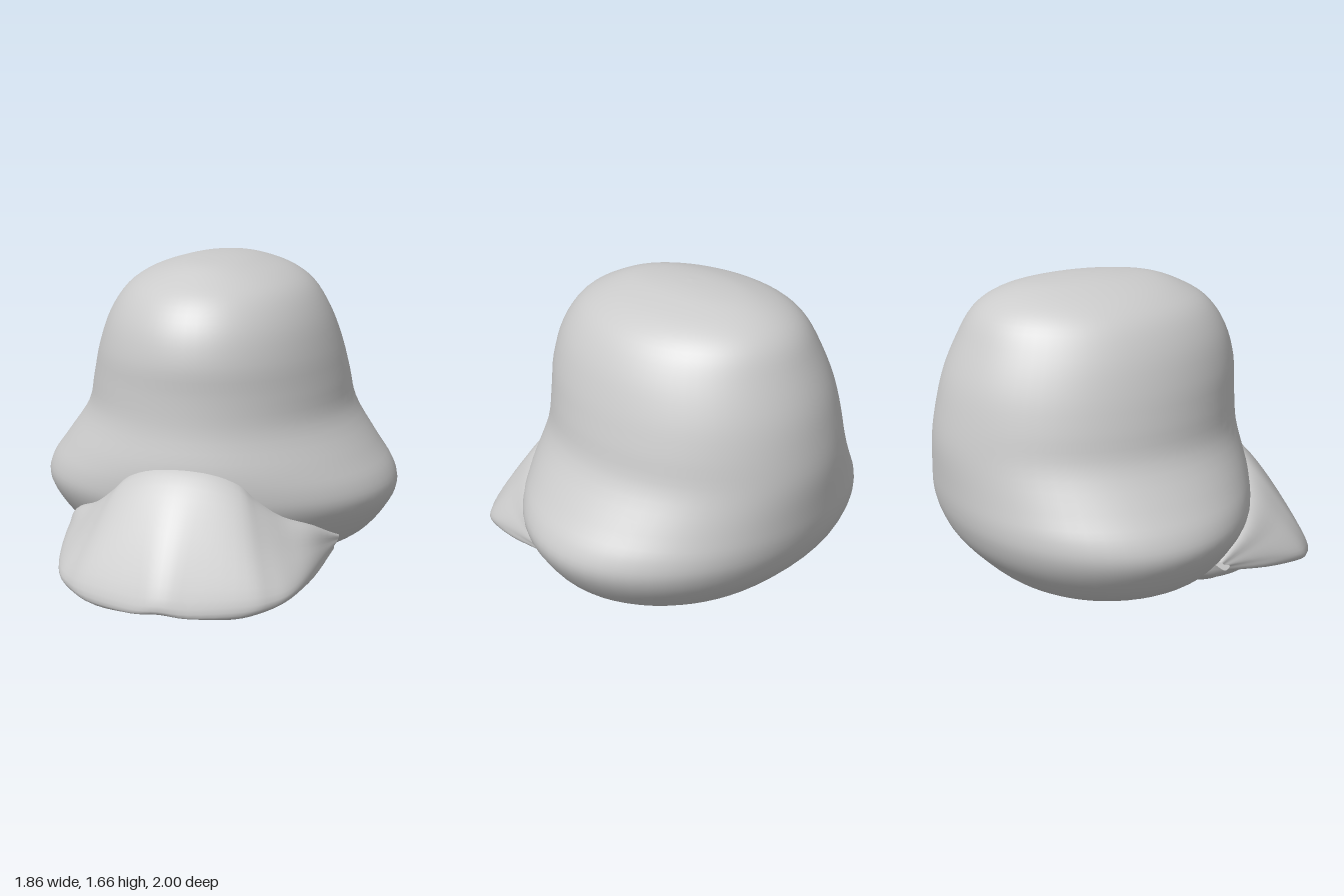
import * as THREE from 'three';

const material = new THREE.MeshStandardMaterial({ color: 0xcccccc, side: THREE.DoubleSide });
const vec = (p) => new THREE.Vector3(...p);

// Smooth skin over a grid: rows run bottom to top, each row left to right (or round, if closed)
function skin(name, rows, closed) {
  const w = rows[0].length, pos = [], index = [];
  rows.forEach((row) => row.forEach((p) => pos.push(p.x, p.y, p.z)));
  for (let j = 0; j < rows.length - 1; j++) {
    for (let i = 0; i < (closed ? w : w - 1); i++) {
      const a = j * w + i, b = j * w + (i + 1) % w;
      index.push(a, b, b + w, a, b + w, a + w);
    }
  }
  const geo = new THREE.BufferGeometry();
  geo.setAttribute('position', new THREE.Float32BufferAttribute(pos, 3));
  geo.setIndex(index);
  geo.computeVertexNormals();
  const mesh = new THREE.Mesh(geo, material);
  mesh.name = name;
  return mesh;
}

// Horizontal oval sections [y, half width, front z, back z], smoothed between levels
function ovalBody(name, sections, steps, sides) {
  const size = new THREE.CatmullRomCurve3(sections.map(([y, w, f]) => vec([w, y, f])), false, 'catmullrom', 0.5);
  const back = new THREE.CatmullRomCurve3(sections.map(([y, , , b]) => vec([0, y, b])), false, 'catmullrom', 0.5);
  const rows = [];
  for (let j = 0; j <= steps; j++) {
    const s = size.getPoint(j / steps), b = back.getPoint(j / steps).z;
    const mid = (s.z + b) / 2, depth = (s.z - b) / 2;
    rows.push(Array.from({ length: sides }, (_, i) => {
      const a = (i / sides) * Math.PI * 2;
      return new THREE.Vector3(Math.sin(a) * s.x, s.y, mid + Math.cos(a) * depth);
    }));
  }
  return skin(name, rows, true);
}

// Rows given from the centre line to the model's left, mirrored and smoothed both ways
function mirroredSheet(name, halves, across, along) {
  const lines = halves.map((half) => {
    const mirror = half.slice(1).reverse().map(([x, y, z]) => vec([-x, y, z]));
    const curve = new THREE.CatmullRomCurve3([...mirror, ...half.map(vec)], false, 'catmullrom', 0.5);
    return curve.getPoints(across);
  });
  const columns = lines[0].map((_, i) =>
    new THREE.CatmullRomCurve3(lines.map((l) => l[i]), false, 'catmullrom', 0.5).getPoints(along));
  const rows = columns[0].map((_, j) => columns.map((c) => c[j]));
  return skin(name, rows, false);
}

export function createModel() {
  const group = new THREE.Group();

  // Bell-shaped head with full cheeks
  group.add(ovalBody('head', [
    [0.06, 0.0, -0.15, -0.15],
    [0.075, 0.25, 0.08, -0.34],
    [0.11, 0.47, 0.2, -0.55],
    [0.16, 0.61, 0.31, -0.68],
    [0.25, 0.775, 0.42, -0.79],
    [0.37, 0.88, 0.52, -0.9],
    [0.48, 0.93, 0.58, -0.955],
    [0.58, 0.905, 0.6, -0.98],
    [0.7, 0.82, 0.6, -0.99],
    [0.88, 0.7, 0.57, -0.995],
    [1.05, 0.66, 0.562, -0.97],
    [1.21, 0.62, 0.562, -0.93],
    [1.37, 0.56, 0.52, -0.86],
    [1.5, 0.475, 0.43, -0.785],
    [1.58, 0.36, 0.3, -0.68],
    [1.63, 0.21, 0.16, -0.53],
    [1.65, 0.1, -0.03, -0.34],
    [1.655, 0.0, -0.18, -0.18],
  ], 68, 64));

  // Upper bill: underside, lip and root from the centre line outwards
  const root = [[0, 0.71, 0.6], [0.15, 0.695, 0.59], [0.28, 0.645, 0.57], [0.36, 0.57, 0.545],
    [0.47, 0.48, 0.48], [0.6, 0.41, 0.36], [0.69, 0.31, 0.17]];
  const rim = [[0, 0.17, 1], [0.14, 0.16, 0.975], [0.4, 0.17, 0.89], [0.5, 0.18, 0.83],
    [0.58, 0.2, 0.74], [0.64, 0.24, 0.55], [0.69, 0.275, 0.25]];
  const lip = [[0, 0.12, 0.92], [0.14, 0.105, 0.92], [0.3, 0.09, 0.87], [0.44, 0.11, 0.78],
    [0.55, 0.155, 0.68], [0.63, 0.195, 0.5], [0.67, 0.245, 0.23]];
  const middle = root.map(([x, y, z], i) => {
    const r = rim[i], bulge = 0.03 * (1 - i / 6);
    return [(x + r[0]) / 2 + 0.01, (y + r[1]) / 2 + bulge, (z + r[2]) / 2 + bulge];
  });
  middle[0][0] = 0;
  const buried = root.map(([x, y, z]) => [x * 0.8, y - 0.05, z - 0.18]);
  const inner = lip.map(([x, y, z]) => [x * 0.8, y * 0.7 + 0.06, 0.25 + (z - 0.25) * 0.66]);
  const palate = lip.map(([x, , z]) => [x * 0.3, 0.2, 0.25 + (z - 0.25) * 0.25]);
  group.add(mirroredSheet('upperBill', [palate, inner, lip, rim, middle, root, buried], 48, 36));

  // Lower bill: shallow bowl beneath
  group.add(ovalBody('lowerBill', [
    [0.0, 0.0, 0.36, 0.36],
    [0.0, 0.16, 0.45, 0.28],
    [0.008, 0.27, 0.52, 0.21],
    [0.06, 0.37, 0.61, 0.08],
    [0.12, 0.47, 0.7, 0.02],
    [0.2, 0.5, 0.72, 0.0],
  ], 20, 48));

  return group;
}
